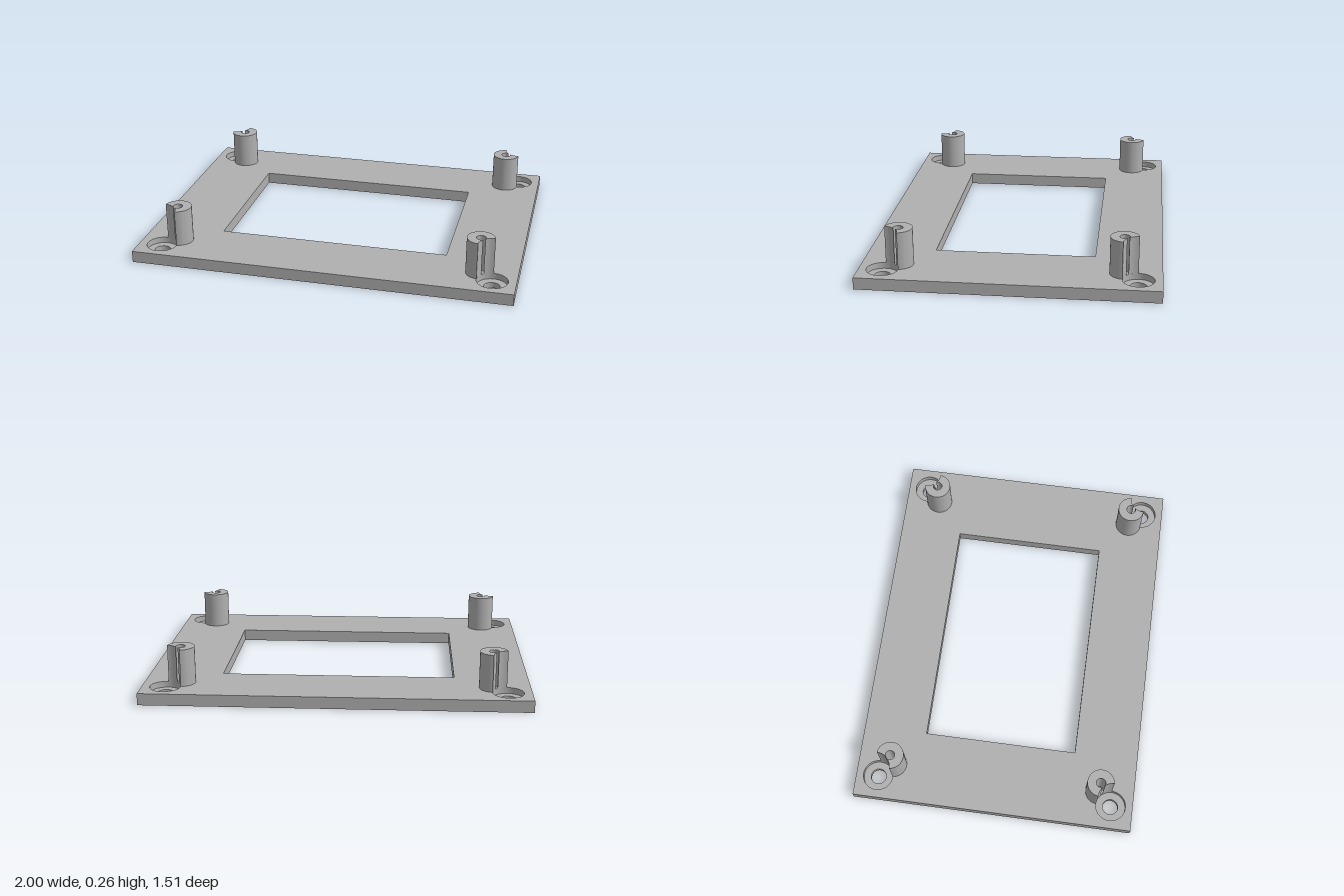
import * as THREE from 'three';
import { toCreasedNormals } from 'three/addons/utils/BufferGeometryUtils.js';

const W = 1, D = 0.755;                 // plate half sizes
const FLOOR = 0.03, PLATE = 0.062, TOP = 0.258;
const HOLE = { x: 0.878, z: 0.636 };    // corner screw holes
const POST = { x: 0.805, z: 0.563 };    // standoff posts
const BORE_R = 0.08, HOLE_R = 0.041, POST_R = 0.072, PILOT_R = 0.025;
const SIDES = [[1, 1], [1, -1], [-1, 1], [-1, -1]];

function rectangle(path, hw, hd) {
  path.moveTo(-hw, -hd);
  path.lineTo(hw, -hd);
  path.lineTo(hw, hd);
  path.lineTo(-hw, hd);
  path.closePath();
  return path;
}

// Extrude a plan outline upwards from y0 to y1
function extrudeUp(shape, y0, y1) {
  const g = new THREE.ExtrudeGeometry(shape, { depth: y1 - y0, bevelEnabled: false, curveSegments: 32 });
  g.rotateX(-Math.PI / 2).translate(0, y0, 0);
  return toCreasedNormals(g, 0.5);
}

// Plate layer with the central window and four round corner holes
function plateLayer(radius, y0, y1) {
  const shape = rectangle(new THREE.Shape(), W, D);
  shape.holes.push(rectangle(new THREE.Path(), 0.612, 0.412));
  for (const [sx, sz] of SIDES) {
    shape.holes.push(new THREE.Path().absarc(sx * HOLE.x, sz * HOLE.z, radius, 0, Math.PI * 2, true));
  }
  return extrudeUp(shape, y0, y1);
}

// Post outline: a disc bitten by the counterbore, which just opens the pilot hole.
// The counterbore centre lies on local +x.
function postShape() {
  const d = Math.hypot(HOLE.x - POST.x, HOLE.z - POST.z);
  const meet = (r) => {
    const a = (d * d + r * r - BORE_R * BORE_R) / (2 * d);
    const h = Math.sqrt(r * r - a * a);
    return { own: Math.atan2(h, a), bore: Math.atan2(h, a - d) };
  };
  const outer = meet(POST_R), pilot = meet(PILOT_R);
  const s = new THREE.Shape();
  s.absarc(0, 0, POST_R, outer.own, Math.PI * 2 - outer.own, false);
  s.absarc(d, 0, BORE_R, -outer.bore, -pilot.bore, true);
  s.absarc(0, 0, PILOT_R, -pilot.own, pilot.own, true);
  s.absarc(d, 0, BORE_R, pilot.bore, outer.bore, true);
  return s;
}

export function createModel() {
  const group = new THREE.Group();
  group.name = 'mountingPlate';
  const grey = new THREE.MeshStandardMaterial({ color: 0xb0b0b0 });
  grey.name = 'grey';

  const add = (name, geometry) => {
    const mesh = new THREE.Mesh(geometry, grey);
    mesh.name = name;
    group.add(mesh);
    return mesh;
  };

  // Base plate: narrow holes below, wide counterbores above
  add('plateBottom', plateLayer(HOLE_R, 0, FLOOR));
  add('plateTop', plateLayer(BORE_R, FLOOR, PLATE));

  // Four standoffs, bitten side towards the corners
  const post = extrudeUp(postShape(), PLATE, TOP);
  for (const [sx, sz] of SIDES) {
    const mesh = add((sz > 0 ? 'front' : 'back') + (sx > 0 ? 'Left' : 'Right') + 'Post', post);
    mesh.position.set(sx * POST.x, 0, sz * POST.z);
    mesh.rotation.y = Math.atan2(-sz, sx);
  }
  return group;
}
